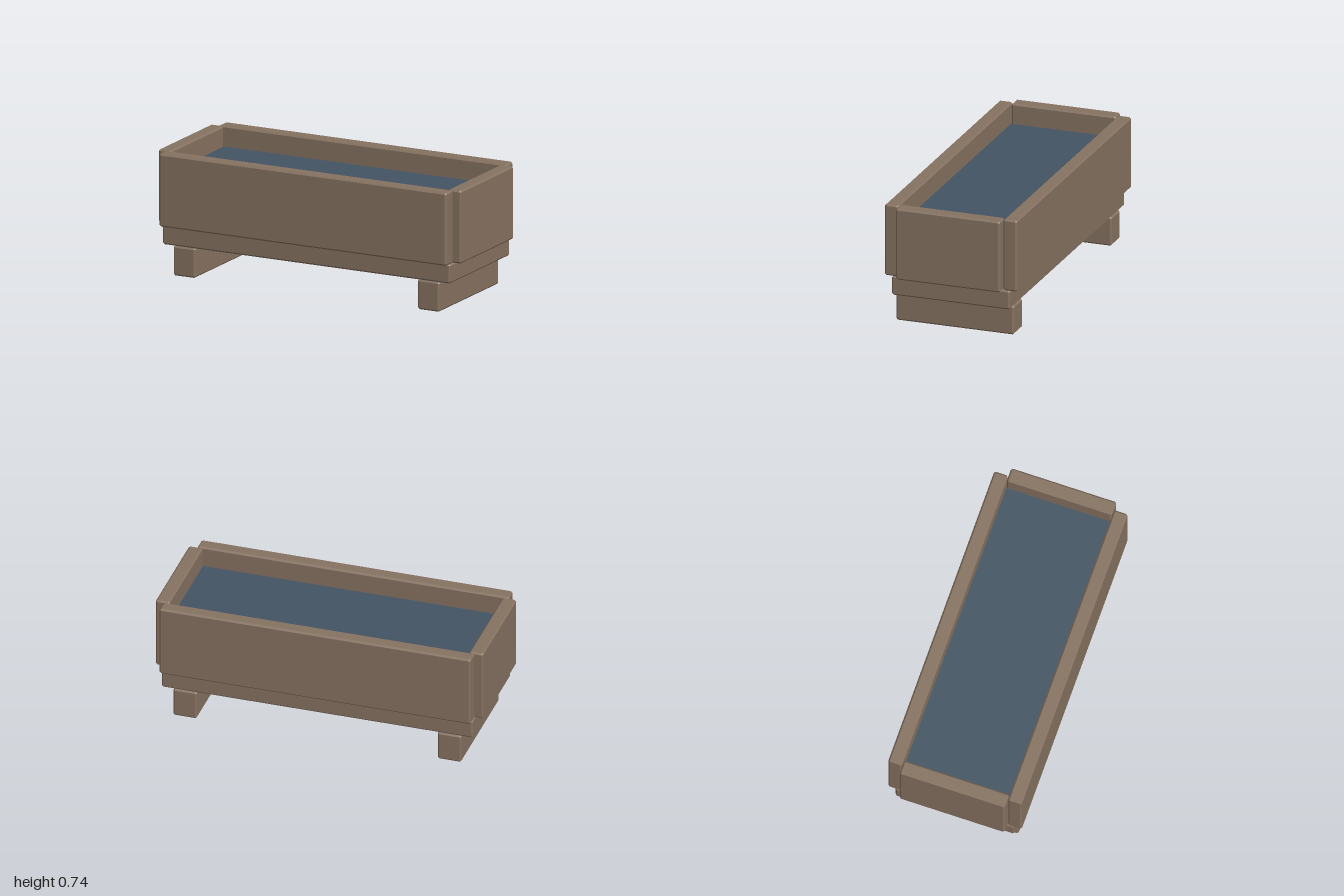
import * as THREE from 'three';
import { ConvexGeometry } from 'three/addons/geometries/ConvexGeometry.js';

const wood = new THREE.MeshStandardMaterial({ color: 0x857160 });
wood.name = 'weathered wood';
const slate = new THREE.MeshStandardMaterial({ color: 0x425362 });
slate.name = 'slate blue filling';

// Box with every edge chamfered: three shrunken face pairs joined by a hull
function chamferedBox(w, h, d, c = 0.01) {
  const points = [];
  for (const sx of [-1, 1]) for (const sy of [-1, 1]) for (const sz of [-1, 1]) {
    for (let axis = 0; axis < 3; axis++) {
      const inset = [c, c, c];
      inset[axis] = 0;
      points.push(new THREE.Vector3(
        sx * (w / 2 - inset[0]), sy * (h / 2 - inset[1]), sz * (d / 2 - inset[2])));
    }
  }
  return new ConvexGeometry(points);
}

export function createModel() {
  const model = new THREE.Group();
  model.name = 'planterTrough';

  const add = (name, geometry, material, x, y, z) => {
    const mesh = new THREE.Mesh(geometry, material);
    mesh.name = name;
    mesh.position.set(x, y, z);
    model.add(mesh);
  };

  // Base slab
  add('base', chamferedBox(1.9, 0.117, 0.734), wood, 0, 0.237, 0);

  // Long walls, front and back
  const longWall = chamferedBox(1.9, 0.44, 0.085);
  add('frontWall', longWall, wood, 0, 0.515, 0.3685);
  add('backWall', longWall, wood, 0, 0.515, -0.3685);

  // End walls and the feet below them
  const endWall = chamferedBox(0.085, 0.44, 0.648);
  const foot = chamferedBox(0.145, 0.179, 0.734);
  for (const [side, s] of [['left', 1], ['right', -1]]) {
    add(side + 'Wall', endWall, wood, s * 0.9575, 0.515, 0);
    add(side + 'Foot', foot, wood, s * 0.8075, 0.0895, 0);
  }

  // Filling inside the trough
  add('filling', new THREE.BoxGeometry(1.84, 0.315, 0.65), slate, 0, 0.4525, 0);

  return model;
}
